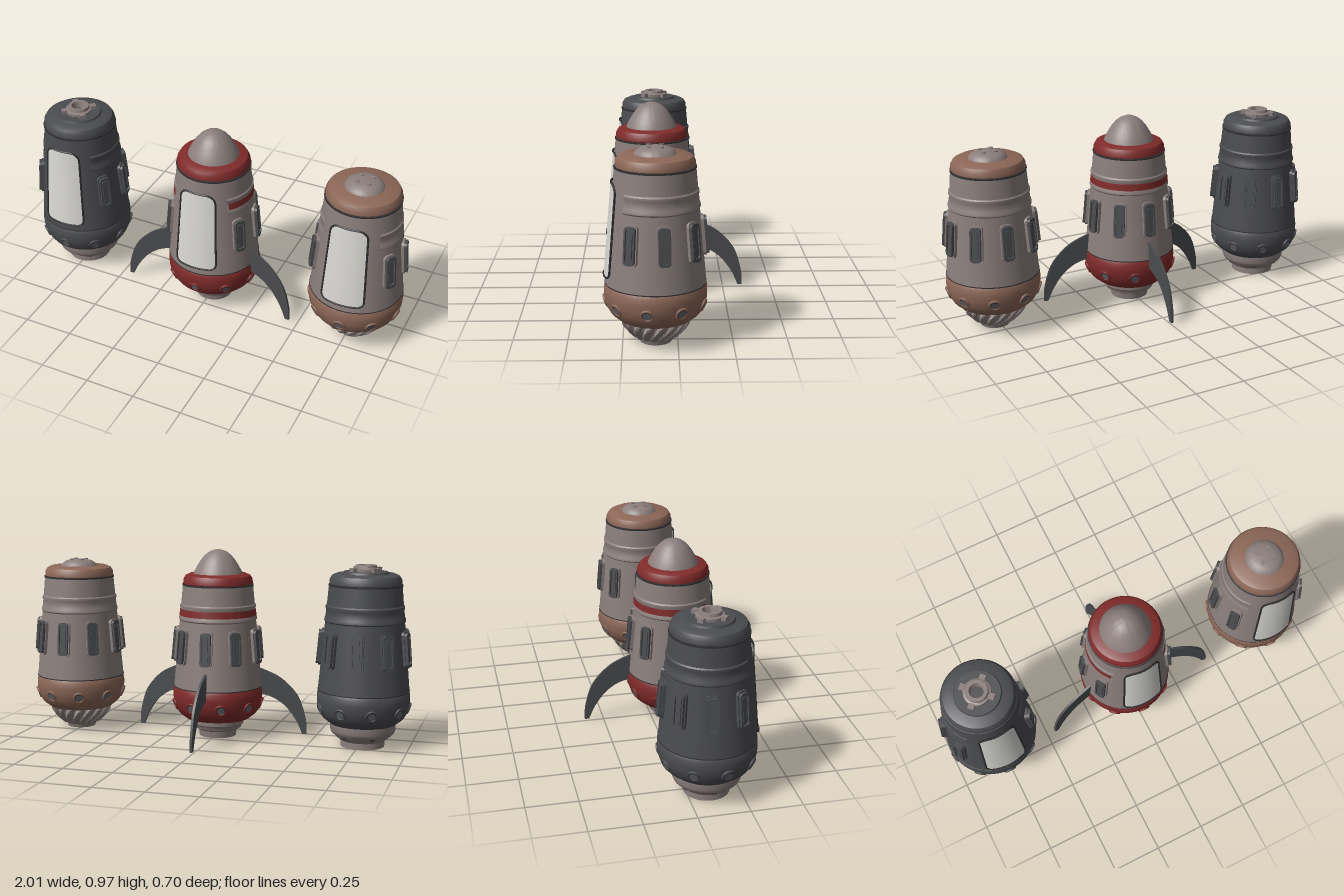
import * as THREE from 'three';
import { toCreasedNormals } from 'three/addons/utils/BufferGeometryUtils.js';

const material = (name, color, side = THREE.FrontSide) => {
  const m = new THREE.MeshStandardMaterial({ color, side });
  m.name = name;
  return m;
};
const taupe = material('taupe hull', 0x8b7f7c);
const brown = material('brown paint', 0x8c6757);
const red = material('red paint', 0x802b2a);
const dark = material('charcoal', 0x4b4c4f);
const trim = material('black trim', 0x2f2f32);
const white = material('white window', 0xd8d7d3, THREE.DoubleSide);
const slate = material('slate glass', 0x66686d);
const orange = material('orange glow', 0xb8701e);

const rad = THREE.MathUtils.degToRad;
const wall = y => 0.254 - 0.09 * y; // hull radius at a height

function add(parent, name, geometry, mat) {
  const mesh = new THREE.Mesh(geometry, mat);
  mesh.name = name;
  parent.add(mesh);
  return mesh;
}

// Turned part from [radius, height] pairs; azimuth 0 is the front
function turned(profile, segments = 64, start = 0, length = Math.PI * 2) {
  const pts = profile.map(([r, y]) => new THREE.Vector2(r, y));
  return toCreasedNormals(new THREE.LatheGeometry(pts, segments, start, length), 0.5);
}

function roundRect(Type, w, h, r) {
  const s = new Type(), x = w / 2, y = h / 2;
  s.absarc(x - r, y - r, r, 0, Math.PI / 2);
  s.absarc(r - x, y - r, r, Math.PI / 2, Math.PI);
  s.absarc(r - x, r - y, r, Math.PI, Math.PI * 1.5);
  s.absarc(x - r, r - y, r, Math.PI * 1.5, Math.PI * 2);
  s.closePath();
  return s;
}

function slab(w, h, r, depth, hole) {
  const s = roundRect(THREE.Shape, w, h, r);
  if (hole) s.holes.push(roundRect(THREE.Path, ...hole));
  return new THREE.ExtrudeGeometry(s, { depth, bevelEnabled: false, curveSegments: 6 });
}

// Group on the hull whose +z points outward
function mount(parent, name, azimuth, radius, y, tilt) {
  const g = new THREE.Group();
  g.name = name;
  g.rotation.set(tilt, azimuth, 0, 'YXZ');
  g.position.set(Math.sin(azimuth) * radius, y, Math.cos(azimuth) * radius);
  parent.add(g);
  return g;
}

// Curved front window with rounded corners and a rim
function addWindow(pod) {
  const y0 = 0.33, y1 = 0.75;
  const at = (u, t) => {
    const y = y0 + (y1 - y0) * (1 - Math.cos(Math.PI * t)) / 2;
    let w = THREE.MathUtils.lerp(0.108, 0.09, (y - y0) / (y1 - y0));
    for (const [d, c] of [[y - y0, 0.03], [y1 - y, 0.045]]) {
      if (d < c) w -= c - Math.sqrt(Math.max(0, c * c - (c - d) ** 2));
    }
    const x = u * w, r = wall(y) + 0.008;
    return new THREE.Vector3(x, y, Math.sqrt(r * r - x * x));
  };
  const geo = new THREE.PlaneGeometry(2, 1, 14, 30), p = geo.attributes.position;
  for (let i = 0; i < p.count; i++) {
    const v = at(p.getX(i), p.getY(i) + 0.5);
    p.setXYZ(i, v.x, v.y, v.z);
  }
  geo.computeVertexNormals();
  add(pod, 'window', geo, white);

  const outline = [];
  for (let i = 0; i <= 24; i++) outline.push(at(1, i / 24));
  for (let i = 1; i < 6; i++) outline.push(at(1 - i / 3, 1));
  for (let i = 24; i >= 0; i--) outline.push(at(-1, i / 24));
  for (let i = 1; i < 6; i++) outline.push(at(i / 3 - 1, 0));
  const curve = new THREE.CatmullRomCurve3(outline, true);
  add(pod, 'windowRim', new THREE.TubeGeometry(curve, 160, 0.005, 6, true), trim);
}

// Shared hull: body, belt, portholes, side vents, collar and window
function makePod(name, x, y, z, body, belt, collar) {
  const pod = new THREE.Group();
  pod.name = name;
  pod.position.set(x, y, z);
  add(pod, 'hull', turned([[wall(0.29), 0.29], [wall(0.5), 0.5], [wall(0.82), 0.82]]), body);
  add(pod, 'belt', turned([[0, 0.122], [0.165, 0.122], [0.198, 0.148], [0.203, 0.153], [0.219, 0.18],
    [0.23, 0.215], [0.232, 0.245], [0.231, 0.275], [0.224, 0.29]]), belt);
  add(pod, 'beltSeam', turned([[0.222, 0.288], [0.2295, 0.29], [0.2295, 0.294], [0.222, 0.296]]), trim);
  add(pod, 'collarSeam', turned([[0.17, 0.812], [0.1835, 0.814], [0.1835, 0.82], [0.17, 0.822]]), trim);
  add(pod, 'collar', turned([[0.172, 0.82], [0.179, 0.824], [0.178, 0.845], [0.167, 0.864], [0.145, 0.874], [0, 0.874]]), collar);

  // Ribbed band round the sides and back
  const rib = [[0, 0.635], [0.005, 0.641], [0.005, 0.653], [0.001, 0.662], [0.001, 0.696],
    [0.005, 0.704], [0.005, 0.715], [0, 0.721]].map(([d, h]) => [wall(h) + d, h]);
  add(pod, 'ribbedBand', turned(rib, 48, rad(45), rad(270)), body);

  for (let k = 0; k < 9; k++) {
    const port = mount(pod, 'porthole', rad(40 * k), 0.225, 0.2, 0.36);
    add(port, 'portholeRim', new THREE.TorusGeometry(0.026, 0.006, 8, 24), belt);
    add(port, 'portholeSeal', new THREE.CircleGeometry(0.025, 24).translate(0, 0, 0.003), trim);
    add(port, 'portholeGlass', new THREE.CircleGeometry(0.019, 24).translate(0, 0, 0.004), slate);
  }
  for (let k = -3; k <= 3; k++) {
    const vent = mount(pod, 'sideVent', rad(180 + 40 * k), 0.198, 0.505, -0.09);
    add(vent, 'ventHousing', slab(0.064, 0.184, 0.02, 0.022), body);
    add(vent, 'ventBase', slab(0.054, 0.17, 0.017, 0.026), dark);
    add(vent, 'ventFrame', slab(0.054, 0.17, 0.017, 0.035, [0.038, 0.14, 0.01]), dark);
    add(vent, 'ventBar', slab(0.027, 0.126, 0.006, 0.032), dark);
  }
  addWindow(pod);
  return pod;
}

function makeClampPod() {
  const pod = makePod('clampPod', -0.765, 0, 0.1, dark, dark, dark);
  add(pod, 'nozzle', turned([[0, 0.06], [0.075, 0.06], [0.085, 0.005], [0.11, 0.005], [0.11, 0.036], [0.12, 0.042],
    [0.157, 0.075], [0.163, 0.09], [0.163, 0.124]]), taupe);
  for (let k = 0; k < 6; k++) {
    const notch = mount(pod, 'nozzleNotch', rad(30 + 60 * k), 0.143, 0.072, 0.6);
    add(notch, 'notchPlate', new THREE.BoxGeometry(0.024, 0.034, 0.012), dark);
  }
  add(pod, 'topStep', turned([[0.115, 0.872], [0.11, 0.884], [0, 0.884]]), dark);
  add(pod, 'dockingRing', turned([[0.03, 0.884], [0.066, 0.884], [0.066, 0.898], [0.055, 0.902], [0.052, 0.916],
    [0.036, 0.916], [0.03, 0.884]], 40), taupe);
  for (let k = 0; k < 4; k++) {
    const lug = mount(pod, 'dockingLug', rad(45 + 90 * k), 0.074, 0.892, 0);
    add(lug, 'lugBlock', new THREE.BoxGeometry(0.03, 0.022, 0.026), taupe);
  }
  return pod;
}

function makeFlutedPod() {
  const pod = makePod('flutedPod', 0.765, 0, 0.1, taupe, brown, brown);
  // Swirled flutes pressed into a lathe surface
  const pts = [];
  for (let i = 0; i <= 10; i++) {
    const t = i / 10;
    pts.push(new THREE.Vector2(0.1 + 0.062 * Math.sin(t * Math.PI / 2), 0.034 + 0.09 * t));
  }
  const geo = new THREE.LatheGeometry(pts, 180), p = geo.attributes.position;
  for (let i = 0; i < p.count; i++) {
    const a = Math.atan2(p.getX(i), p.getZ(i)), t = (p.getY(i) - 0.034) / 0.09;
    const s = 1 + 0.04 * Math.tanh(3 * Math.cos(18 * (a - 0.4 * t))) - 0.04;
    p.setXYZ(i, p.getX(i) * s, p.getY(i), p.getZ(i) * s);
  }
  add(pod, 'flutedNozzle', toCreasedNormals(geo, 0.5), taupe);
  add(pod, 'nozzleLip', turned([[0, 0.05], [0.04, 0.05], [0.05, 0.008], [0.072, 0.008], [0.078, 0.026], [0.098, 0.036]]), taupe);
  add(pod, 'topDome', turned([[0.095, 0.872], [0.088, 0.885], [0.07, 0.898], [0.045, 0.905], [0, 0.907]]), taupe);
  for (let k = 0; k < 4; k++) {
    const stud = mount(pod, 'domeStud', rad(45 + 90 * k), 0.04, 0.905, 0);
    add(stud, 'studCap', new THREE.CylinderGeometry(0.011, 0.011, 0.01, 12), taupe);
  }
  return pod;
}

function makeFinnedPod() {
  const pod = makePod('finnedPod', 0, -0.022, 0.115, taupe, red, red);
  const stripe = [[wall(0.661) + 0.004, 0.661], [wall(0.695) + 0.004, 0.695]];
  add(pod, 'redStripe', turned(stripe, 48, rad(47), rad(266)), red);
  add(pod, 'noseCone', turned([[0.126, 0.872], [0.12, 0.888], [0.108, 0.91], [0.09, 0.94], [0.068, 0.967],
    [0.045, 0.985], [0.02, 0.995], [0, 0.997]]), taupe);
  add(pod, 'nozzle', turned([[0.07, 0.09], [0.08, 0.027], [0.095, 0.027], [0.1, 0.06], [0.122, 0.072], [0.126, 0.085],
    [0.135, 0.095], [0.137, 0.124]]), taupe);
  add(pod, 'engineGlow', new THREE.CircleGeometry(0.078, 32).rotateX(Math.PI / 2).translate(0, 0.06, 0), orange);

  // Three swept fins
  const s = new THREE.Shape();
  s.moveTo(0.19, 0.39);
  s.splineThru([[0.24, 0.377], [0.335, 0.329], [0.419, 0.238], [0.458, 0.122], [0.464, 0.04]].map(q => new THREE.Vector2(...q)));
  s.lineTo(0.442, 0.04);
  s.splineThru([[0.41, 0.11], [0.357, 0.182], [0.298, 0.226], [0.241, 0.246], [0.19, 0.255]].map(q => new THREE.Vector2(...q)));
  s.closePath();
  const fin = new THREE.ExtrudeGeometry(s, { depth: 0.012, bevelEnabled: false, curveSegments: 20 }).translate(0, 0, -0.006);
  for (const a of [80, 180, 280]) add(pod, 'fin', fin, dark).rotation.y = rad(a - 90);
  return pod;
}

export function createModel() {
  const model = new THREE.Group();
  model.name = 'rocketPods';
  model.add(makeClampPod(), makeFinnedPod(), makeFlutedPod());
  return model;
}
